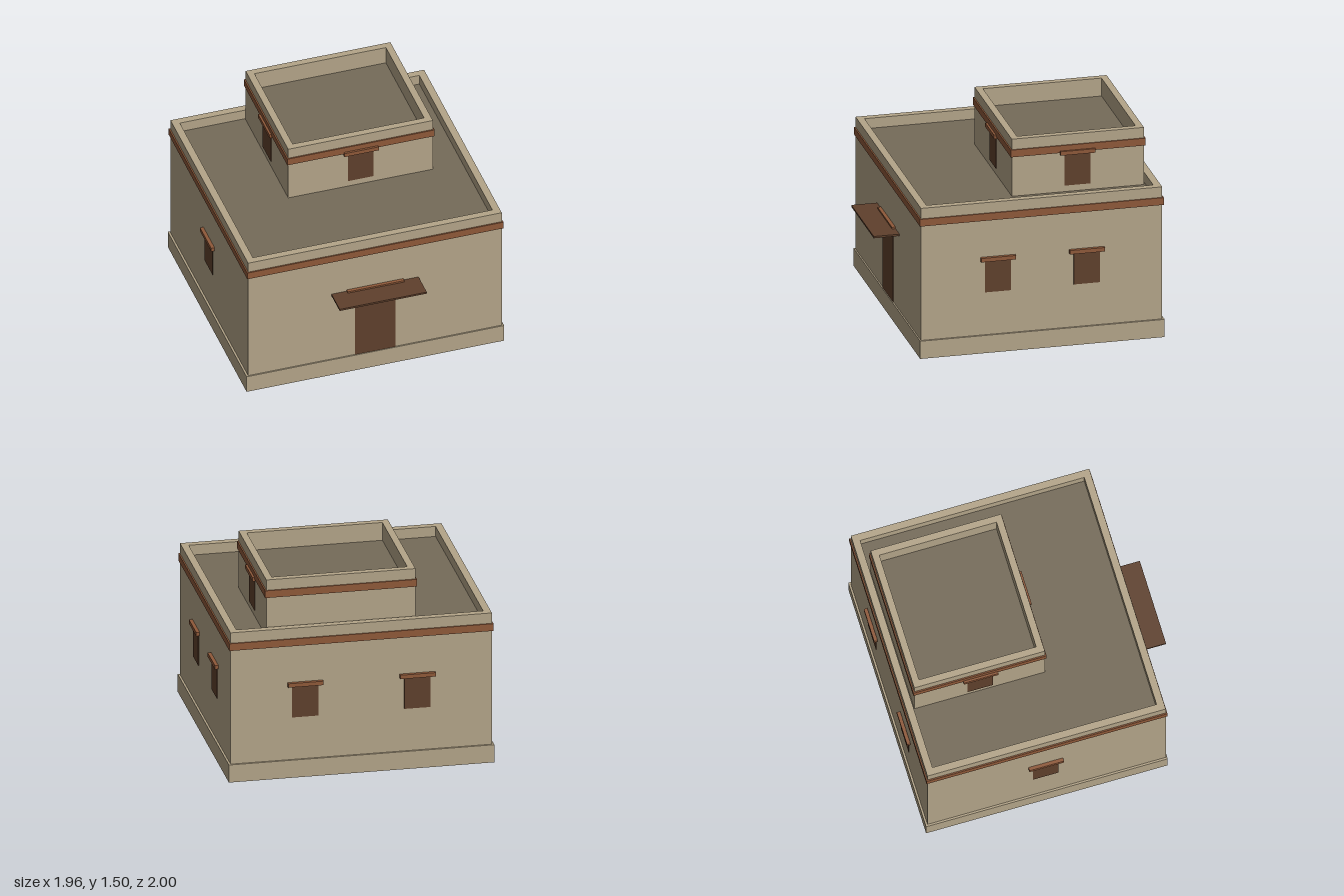
import * as THREE from 'three';

const mat = (name, color) => {
  const m = new THREE.MeshStandardMaterial({ color });
  m.name = name;
  return m;
};

export function createModel() {
  const group = new THREE.Group();
  const plaster = mat('plaster', 0xb4a589);
  const roofMat = mat('packedRoof', 0x756b59);
  const timber = mat('timber', 0x8f5939);
  const darkWood = mat('darkWood', 0x5f402c);

  const add = (name, geometry, material) => {
    const mesh = new THREE.Mesh(geometry, material);
    mesh.name = name;
    group.add(mesh);
    return mesh;
  };

  // Box given by its limits on each axis
  const block = (name, material, [x0, x1], [y0, y1], [z0, z1]) => {
    const g = new THREE.BoxGeometry(x1 - x0, y1 - y0, z1 - z0);
    g.translate((x0 + x1) / 2, (y0 + y1) / 2, (z0 + z1) / 2);
    return add(name, g, material);
  };

  // Rectangular ring: outer limits, wall thickness t, extruded from y0 to y1
  const frame = (name, material, [x0, x1], [y0, y1], [z0, z1], t) => {
    const rect = (S, a, b, c, d) => {
      const s = new S();
      s.moveTo(a, c);
      s.lineTo(b, c);
      s.lineTo(b, d);
      s.lineTo(a, d);
      s.closePath();
      return s;
    };
    const shape = rect(THREE.Shape, x0, x1, -z1, -z0);
    shape.holes.push(rect(THREE.Path, x0 + t, x1 - t, -z1 + t, -z0 - t));
    const g = new THREE.ExtrudeGeometry(shape, { depth: y1 - y0, bevelEnabled: false });
    g.rotateX(-Math.PI / 2);
    g.translate(0, y0, 0);
    return add(name, g, material);
  };

  // A storey: solid body, parapet ring, sunken roof and timber band
  const storey = (name, x, z, base, roof, top, band, t) => {
    const grow = ([a, b], d) => [a - d, b + d];
    block(name + 'Walls', plaster, x, [base, roof], z);
    frame(name + 'Parapet', plaster, x, [roof, top], z, t);
    block(name + 'Roof', roofMat, grow(x, -t), [roof - 0.004, roof + 0.003], grow(z, -t));
    frame(name + 'Band', timber, grow(x, 0.01), band, grow(z, 0.01), 0.02);
  };
  storey('lower', [-0.955, 0.955], [-0.97, 0.81], 0.135, 1.065, 1.145, [1.01, 1.065], 0.053);
  storey('upper', [-0.41, 0.68], [-0.905, 0.07], 0, 1.365, 1.505, [1.37, 1.425], 0.05);

  // Hollow plinth around the foot of the walls
  frame('plinth', plaster, [-0.97, 0.97], [0, 0.135], [-0.985, 0.82], 0.015);

  // Window with lintel; side is the wall it sits on, c its centre along the wall
  const opening = (name, side, wall, c, top) => {
    const sign = side[0] === '+' ? 1 : -1;
    const out = (d) => [Math.min(wall, wall + sign * d), Math.max(wall, wall + sign * d)];
    const put = (part, material, half, y, d) => {
      const along = [c - half, c + half];
      if (side[1] === 'x') block(name + part, material, out(d), y, along);
      else block(name + part, material, along, y, out(d));
    };
    put('Opening', darkWood, 0.096, [top - 0.24, top], 0.004);
    put('Lintel', timber, 0.129, [top, top + 0.03], 0.026);
  };
  opening('leftFrontWindow', '+x', 0.955, 0.243, 0.7);
  opening('leftBackWindow', '+x', 0.955, -0.413, 0.7);
  opening('rightWindow', '-x', -0.955, -0.087, 0.7);
  for (const s of [-1, 1]) opening(s > 0 ? 'backLeftWindow' : 'backRightWindow', '-z', -0.972, s * 0.41, 0.7);
  opening('upperFrontWindow', '+z', 0.07, 0.135, 1.355);
  opening('upperLeftWindow', '+x', 0.68, -0.413, 1.355);
  opening('upperRightWindow', '-x', -0.41, -0.413, 1.355);

  // Front door with lintel and flat awning
  block('door', darkWood, [-0.152, 0.152], [0, 0.66], [0.803, 0.814]);
  block('doorLintel', timber, [-0.213, 0.213], [0.685, 0.73], [0.81, 0.836]);
  block('awning', darkWood, [-0.328, 0.328], [0.704, 0.718], [0.81, 1.0]);

  return group;
}
